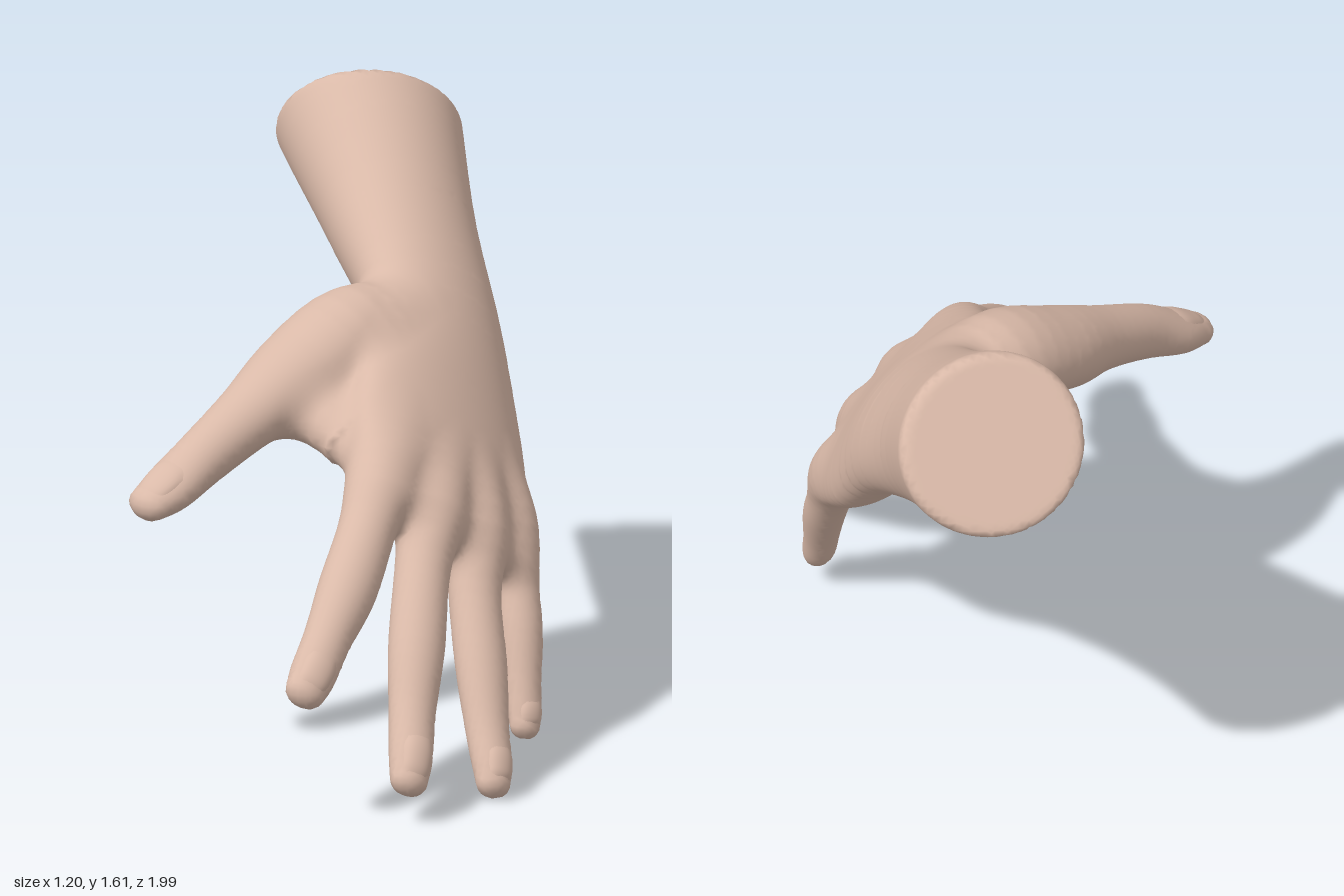
import * as THREE from 'three';

const skin = new THREE.MeshStandardMaterial({ color: 0xd9b9a8 });
skin.name = 'skin';
const V = (x, y, z) => new THREE.Vector3(x, y, z);
const { lerp, clamp } = THREE.MathUtils;
const STEPS = 26;      // sections kept per limb
const CELL = 0.02;     // fineness of the skin
const BLEND = 0.05;    // how softly limbs flow into each other

// Limbs are smooth paths of elliptical sections.
// Each row: [x, y, z, half width, half thickness]; up is the dorsal direction.
const shapes = {
  forearmAndPalm: { up: [0.82, 0.535, 0.04], rows: [
    [-0.47, 1.52, -0.99, 0.275, 0.265], [-0.355, 1.425, -0.83, 0.26, 0.245], [-0.155, 1.235, -0.57, 0.23, 0.187],
    [0.04, 1.05, -0.33, 0.238, 0.14], [0.145, 0.88, -0.11, 0.312, 0.13], [0.235, 0.747, 0.074, 0.333, 0.113],
    [0.3, 0.65, 0.19, 0.303, 0.08]] },
  thumbWeb: { up: [0.3, 0.9, 0.3], rows: [
    [-0.2, 0.96, 0.19, 0.1, 0.07], [-0.06, 0.93, 0.16, 0.13, 0.085],
    [0.06, 0.89, 0.17, 0.16, 0.09], [0.15, 0.83, 0.25, 0.11, 0.07]] },
  thumb: { up: [-0.1, 0.85, 0.5], nail: true, rows: [
    [-0.01, 1.08, -0.23, 0.11, 0.11], [-0.085, 1.08, -0.05, 0.148, 0.135], [-0.17, 1.015, 0.13, 0.135, 0.115],
    [-0.24, 0.94, 0.31, 0.098, 0.088], [-0.305, 0.865, 0.47, 0.08, 0.075], [-0.36, 0.8, 0.58, 0.079, 0.06],
    [-0.39, 0.772, 0.645, 0.064, 0.046]] },
  indexFinger: { up: [0.6, 0.5, 0.5], nail: true, rows: [
    [0.1, 0.92, 0.12, 0.07, 0.07], [0.16, 0.82, 0.33, 0.096, 0.09], [0.18, 0.72, 0.48, 0.08, 0.076],
    [0.193, 0.6, 0.65, 0.082, 0.076], [0.192, 0.5, 0.79, 0.067, 0.062], [0.192, 0.43, 0.89, 0.065, 0.056],
    [0.19, 0.395, 0.945, 0.057, 0.045]] },
  middleFinger: { up: [0.7, 0.5, 0.4], nail: true, rows: [
    [0.205, 0.828, 0.05, 0.06, 0.06], [0.275, 0.73, 0.24, 0.092, 0.087], [0.305, 0.59, 0.39, 0.077, 0.074],
    [0.35, 0.42, 0.54, 0.079, 0.073], [0.387, 0.28, 0.66, 0.066, 0.06], [0.42, 0.18, 0.75, 0.062, 0.055],
    [0.435, 0.13, 0.8, 0.054, 0.044]] },
  ringFinger: { up: [0.8, 0.5, 0.25], nail: true, rows: [
    [0.248, 0.772, -0.019, 0.06, 0.06], [0.345, 0.65, 0.11, 0.088, 0.083], [0.393, 0.48, 0.23, 0.073, 0.07],
    [0.453, 0.32, 0.33, 0.074, 0.067], [0.507, 0.18, 0.42, 0.063, 0.057], [0.547, 0.095, 0.48, 0.058, 0.051],
    [0.563, 0.055, 0.512, 0.051, 0.043]] },
  littleFinger: { up: [0.75, 0.5, 0.3], nail: true, rows: [
    [0.27, 0.73, -0.15, 0.06, 0.06], [0.365, 0.6, -0.07, 0.078, 0.078], [0.42, 0.45, 0.005, 0.065, 0.061],
    [0.458, 0.34, 0.06, 0.061, 0.057], [0.487, 0.22, 0.115, 0.052, 0.047], [0.506, 0.14, 0.15, 0.049, 0.043],
    [0.514, 0.11, 0.168, 0.044, 0.037]] },
};
// Flat cut across the forearm
const cut = new THREE.Plane(V(-0.35, 0.57, -0.73).normalize(), -1.568);

function makeLimb(name, { rows, up, nail }) {
  const curve = points => new THREE.CatmullRomCurve3(points, false, 'catmullrom', 0.5);
  const path = curve(rows.map(r => V(r[0], r[1], r[2])));
  const size = curve(rows.map(r => V(r[3], r[4], 0)));
  const dorsal = V(...up);
  const section = t => {
    const along = path.getTangent(t);
    const normal = dorsal.clone().addScaledVector(along, -dorsal.dot(along)).normalize();
    const { x: a, y: b } = size.getPoint(t);
    return { centre: path.getPoint(t), along, normal, side: normal.clone().cross(along), a, b };
  };
  const sections = Array.from({ length: STEPS + 1 }, (_, i) => section(i / STEPS));
  const reach = Math.max(...sections.map(s => s.a)) + 0.1;
  const box = new THREE.Box3().setFromPoints(sections.map(s => s.centre)).expandByScalar(reach);
  return { name, nail, section, sections, box };
}

// Approximate distance from a point to a limb's elliptical skin
const span = V(), offset = V();
function limbDistance(limb, p) {
  let best = Infinity, at = 0, u = 0;
  for (let i = 0; i < STEPS; i++) {
    const from = limb.sections[i].centre;
    span.subVectors(limb.sections[i + 1].centre, from);
    offset.subVectors(p, from);
    const f = clamp(offset.dot(span) / span.lengthSq(), 0, 1);
    const d = offset.addScaledVector(span, -f).lengthSq();
    if (d < best) { best = d; at = i; u = f; }
  }
  const s = limb.sections[at], e = limb.sections[at + 1];
  const a = lerp(s.a, e.a, u), b = lerp(s.b, e.b, u);
  offset.lerpVectors(s.centre, e.centre, u).subVectors(p, offset);
  const local = (axis, r) => lerp(offset.dot(s[axis]), offset.dot(e[axis]), u) / r;
  const x = local('side', a), y = local('normal', b), z = local('along', b);
  const k = Math.hypot(x, y, z);
  return k < 1e-4 ? -b : k * (k - 1) / Math.hypot(x / a, y / b, z / b);
}

// Softly joined limbs with a softly rounded cut at the forearm
const soft = (a, b, r) => Math.max(r - Math.abs(a - b), 0) ** 2 / (4 * r);
function handDistance(limbs, p) {
  let d = 0.2;
  for (const limb of limbs) {
    if (!limb.box.containsPoint(p)) continue;
    const e = limbDistance(limb, p);
    d = Math.min(d, e) - soft(d, e, BLEND);
  }
  const c = cut.distanceToPoint(p);
  return Math.max(d, c) + soft(d, c, 0.035);
}

function gradient(limbs, p) {
  const e = 0.008;
  const slope = step => (handDistance(limbs, p.clone().add(step)) - handDistance(limbs, p.clone().sub(step))) / (2 * e);
  return V(slope(V(e, 0, 0)), slope(V(0, e, 0)), slope(V(0, 0, e)));
}

// One continuous skin over all limbs, sorted into a geometry per limb
function skinGeometries(limbs) {
  const box = limbs.reduce((all, l) => all.union(l.box), new THREE.Box3());
  const n = box.getSize(V()).toArray().map(s => Math.ceil(s / CELL) + 1);
  const stride = [1, n[0], n[0] * n[1]];
  const place = (i, j, k) => V(i, j, k).multiplyScalar(CELL).add(box.min);
  const value = new Float32Array(n[0] * n[1] * n[2]).fill(1);
  const eachCell = (first, visit) => {
    for (let k = first; k < n[2] - 1; k++)
      for (let j = first; j < n[1] - 1; j++)
        for (let i = first; i < n[0] - 1; i++) visit(i, j, k, i + j * stride[1] + k * stride[2]);
  };
  eachCell(0, (i, j, k, id) => { value[id] = handDistance(limbs, place(i, j, k)); });

  // a vertex in every cell the skin passes through, settled onto the skin
  const positions = [], normals = [], owners = [], vertexOf = new Map();
  eachCell(0, (i, j, k, id) => {
    const sum = V();
    let crossings = 0;
    for (let c = 0; c < 8; c++) for (let axis = 0; axis < 3; axis++) {
      if (c >> axis & 1) continue;
      const corner = [c & 1, c >> 1 & 1, c >> 2];
      const from = id + corner[0] + corner[1] * stride[1] + corner[2] * stride[2];
      const v0 = value[from], v1 = value[from + stride[axis]];
      if (v0 < 0 === v1 < 0) continue;
      corner[axis] += v0 / (v0 - v1);
      sum.add(V(...corner));
      crossings++;
    }
    if (!crossings) return;
    sum.divideScalar(crossings);
    const p = place(i + sum.x, j + sum.y, k + sum.z);
    for (let pass = 0; pass < 2; pass++) {
      const g = gradient(limbs, p);
      p.addScaledVector(g, -clamp(handDistance(limbs, p) / Math.max(g.lengthSq(), 0.2), -0.01, 0.01));
    }
    vertexOf.set(id, owners.length);
    positions.push(...p.toArray());
    normals.push(...gradient(limbs, p).normalize().toArray());
    const distances = limbs.map(l => limbDistance(l, p));
    owners.push(distances.indexOf(Math.min(...distances)));
  });

  // a quad across every grid edge that pierces the skin
  const indices = limbs.map(() => []);
  eachCell(1, (i, j, k, id) => {
    for (let axis = 0; axis < 3; axis++) {
      const inside = value[id] < 0;
      if (inside === value[id + stride[axis]] < 0) continue;
      const u = stride[(axis + 1) % 3], v = stride[(axis + 2) % 3];
      const quad = [id, id - u, id - u - v, id - v].map(c => vertexOf.get(c));
      if (!inside) quad.reverse();
      const [a, b, c, d] = quad;
      indices[owners[a]].push(a, b, c, a, c, d);
    }
  });
  return indices.map(index => {
    const g = new THREE.BufferGeometry().setIndex(index);
    g.setAttribute('position', new THREE.Float32BufferAttribute(positions, 3));
    g.setAttribute('normal', new THREE.Float32BufferAttribute(normals, 3));
    return g.toNonIndexed();
  });
}

// Nail: a thin plate that follows the dorsal side of the tip
function nailGeometry(limb) {
  const g = new THREE.PlaneGeometry(2, 2, 14, 14), pos = g.attributes.position;
  for (let i = 0; i < pos.count; i++) {
    const x = pos.getX(i), y = pos.getY(i), angle = Math.PI / 2 + x * 0.85;
    const lift = 1.1 - 0.13 * Math.min(1, x ** 4 + y ** 4);
    const s = limb.section(0.885 + y * 0.115);
    s.centre.addScaledVector(s.side, s.a * lift * Math.cos(angle)).addScaledVector(s.normal, s.b * lift * Math.sin(angle));
    pos.setXYZ(i, ...s.centre.toArray());
  }
  g.computeVertexNormals();
  return g;
}

export function createModel() {
  const hand = new THREE.Group();
  hand.name = 'hand';
  const addPart = (name, geometry) => {
    const mesh = new THREE.Mesh(geometry, skin);
    mesh.name = name;
    hand.add(mesh);
  };
  const limbs = Object.entries(shapes).map(([name, shape]) => makeLimb(name, shape));
  skinGeometries(limbs).forEach((g, i) => addPart(limbs[i].name, g));
  limbs.filter(l => l.nail).forEach(l => addPart(l.name + 'Nail', nailGeometry(l)));

  // Stand on the ground, centred
  const box = new THREE.Box3().setFromObject(hand, true), mid = box.getCenter(V());
  hand.position.set(-mid.x, -box.min.y, -mid.z);
  const model = new THREE.Group();
  model.name = 'handModel';
  return model.add(hand);
}
